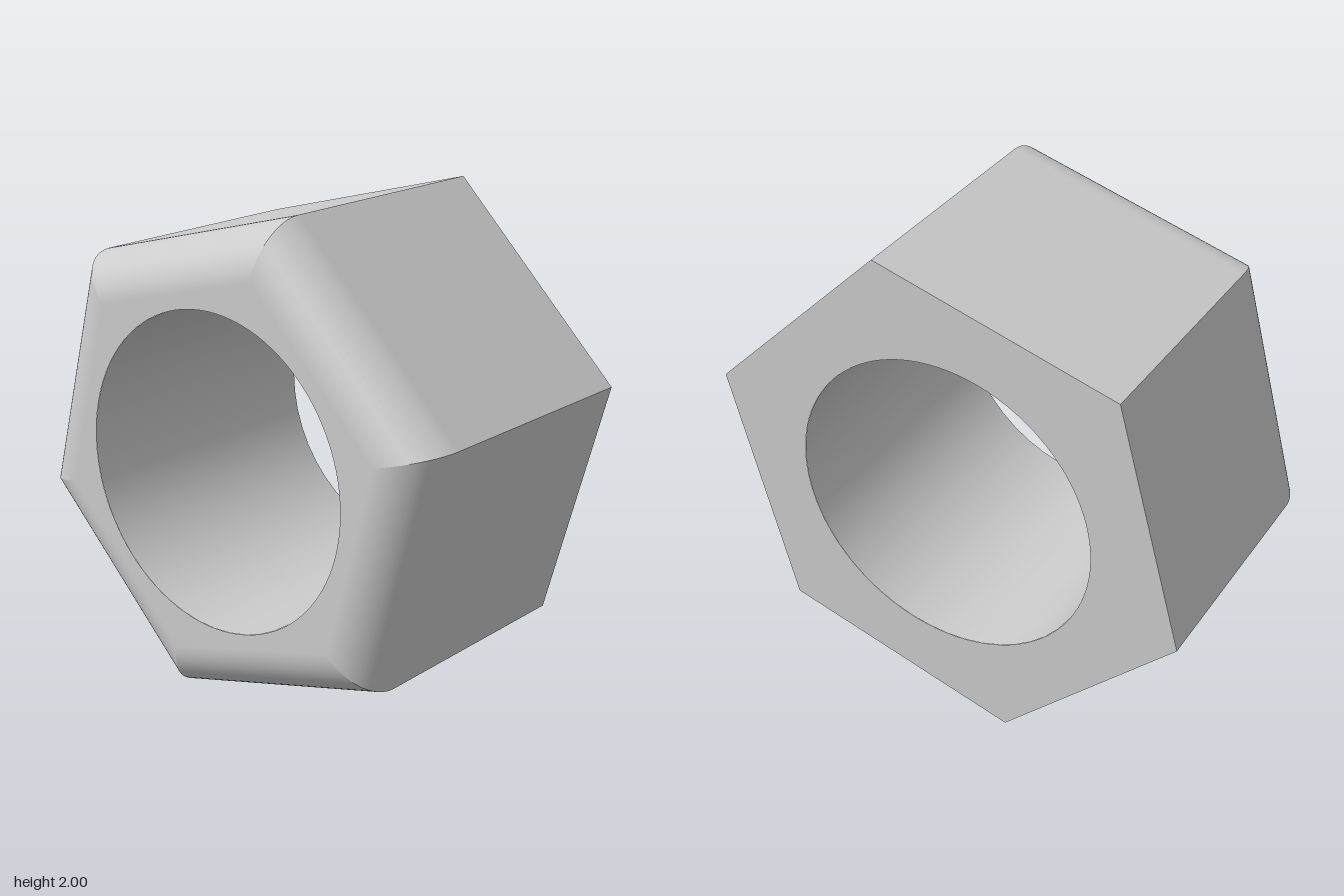
import * as THREE from 'three';

const APOTHEM = 0.896, HALF = 0.597, FILLET = 0.2, BORE = 0.635;
const TURN = Math.PI / 12, SEGMENTS = 48;

// Hexagon outline, one corner at 15 degrees, with the bore cut out
function hexShape(apothem) {
  const r = apothem / Math.cos(Math.PI / 6);
  const points = [];
  for (let i = 0; i < 6; i++) {
    const a = TURN + i * Math.PI / 3;
    points.push(new THREE.Vector2(r * Math.cos(a), r * Math.sin(a)));
  }
  const shape = new THREE.Shape(points);
  shape.holes.push(new THREE.Path().absarc(0, 0, BORE, 0, Math.PI * 2, true));
  return shape;
}

// One flat side facing +x that rolls over into the front fillet, mitred at both ends
function sideGeometry() {
  const rows = [[APOTHEM, -HALF, 0]];
  const steps = 16;
  for (let i = 0; i <= steps; i++) {
    const t = i / steps * Math.PI / 2;
    rows.push([APOTHEM - FILLET + FILLET * Math.cos(t), HALF - FILLET + FILLET * Math.sin(t), t]);
  }
  const position = [], normal = [], index = [];
  rows.forEach(([d, z, t], i) => {
    const w = d * Math.tan(Math.PI / 6);
    position.push(d, -w, z, d, w, z);
    for (let k = 0; k < 2; k++) normal.push(Math.cos(t), 0, Math.sin(t));
    if (i) {
      const a = 2 * (i - 1);
      index.push(a, a + 1, a + 3, a, a + 3, a + 2);
    }
  });
  const geometry = new THREE.BufferGeometry();
  geometry.setAttribute('position', new THREE.Float32BufferAttribute(position, 3));
  geometry.setAttribute('normal', new THREE.Float32BufferAttribute(normal, 3));
  geometry.setIndex(index);
  return geometry;
}

export function createModel() {
  const model = new THREE.Group();
  model.name = 'hexNut';
  const material = new THREE.MeshStandardMaterial({ color: 0xcccccc });
  const add = (name, geometry) => {
    const mesh = new THREE.Mesh(geometry, material);
    mesh.name = name;
    mesh.position.y = 1;
    model.add(mesh);
    return mesh;
  };

  // Six outer sides
  const side = sideGeometry();
  for (let i = 0; i < 6; i++) {
    add(`side${i + 1}`, side).rotation.z = TURN + Math.PI / 6 + i * Math.PI / 3;
  }

  // Front face inside the fillet, and full-size back face
  add('frontFace', new THREE.ShapeGeometry(hexShape(APOTHEM - FILLET), SEGMENTS).translate(0, 0, HALF));
  const back = new THREE.ShapeGeometry(hexShape(APOTHEM), SEGMENTS);
  // Reverse the winding so the back face looks towards -z
  back.index.array.reverse();
  back.computeVertexNormals();
  add('backFace', back.translate(0, 0, -HALF));

  // Bore wall, profile running downwards so it faces inwards
  const wall = [new THREE.Vector2(BORE, HALF), new THREE.Vector2(BORE, -HALF)];
  add('bore', new THREE.LatheGeometry(wall, SEGMENTS).rotateX(Math.PI / 2));

  return model;
}
